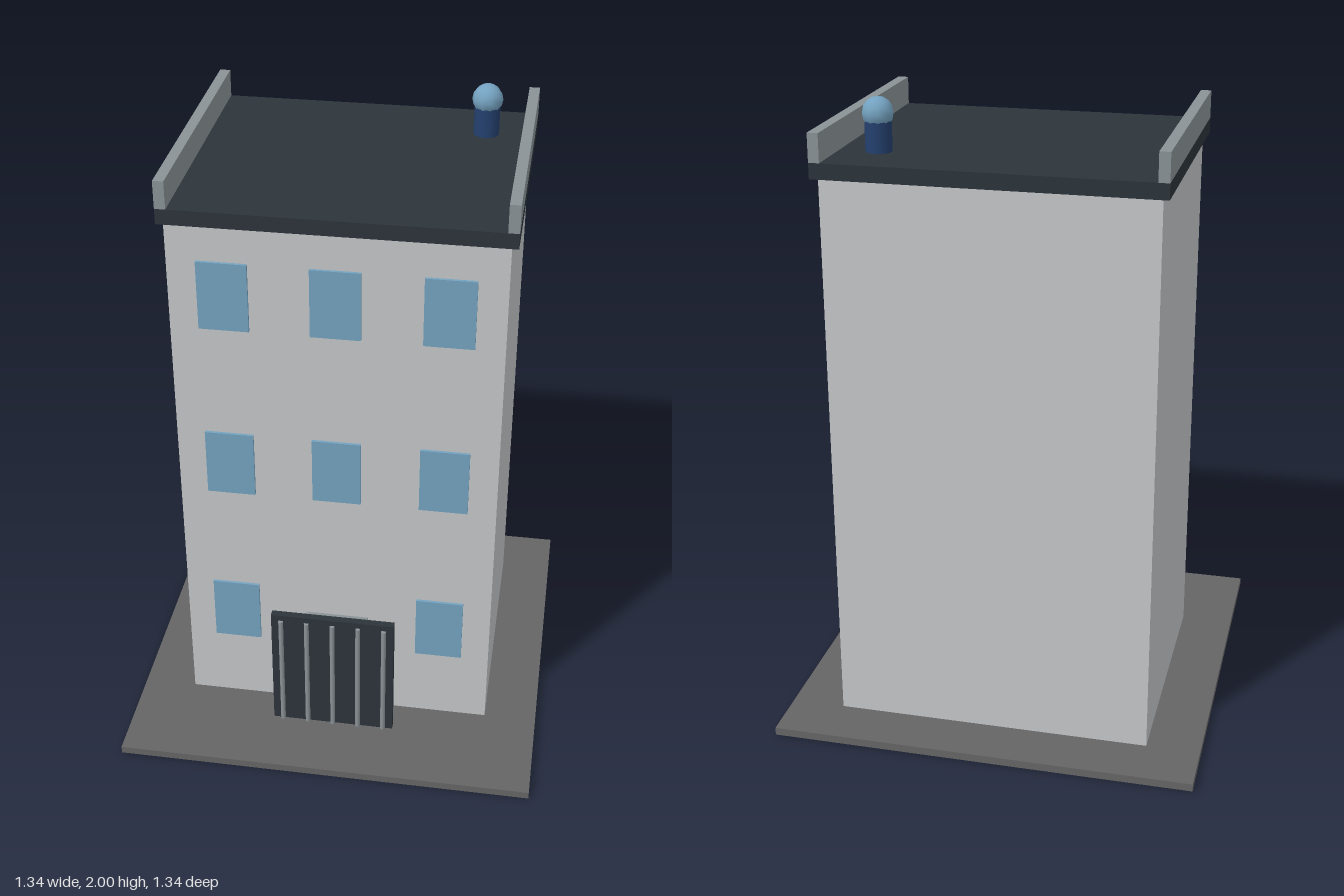
import * as THREE from 'three';

const mat = (name, color, flatShading = false) => {
  const m = new THREE.MeshStandardMaterial({ color, flatShading });
  m.name = name;
  return m;
};

export function createModel() {
  const model = new THREE.Group();
  model.name = 'building';
  const wall = mat('wall grey', 0xc3c6c8);
  const roof = mat('roof charcoal', 0x2c343a);
  const trim = mat('trim grey', 0x8a9296);
  const glass = mat('glass blue', 0x74a2c0);
  const paving = mat('paving grey', 0x656565);
  const navy = mat('tank navy', 0x24406e);

  const add = (name, geometry, material, x, y, z) => {
    const mesh = new THREE.Mesh(geometry, material);
    mesh.name = name;
    mesh.position.set(x, y, z);
    model.add(mesh);
    return mesh;
  };
  // Box given by its limits on each axis
  const box = (name, material, x0, x1, y0, y1, z0, z1) =>
    add(name, new THREE.BoxGeometry(x1 - x0, y1 - y0, z1 - z0), material,
      (x0 + x1) / 2, (y0 + y1) / 2, (z0 + z1) / 2);

  // Ground slab, main block and overhanging roof
  box('groundSlab', paving, -0.67, 0.67, 0, 0.025, -0.67, 0.67);
  box('walls', wall, -0.5, 0.5, 0.025, 1.79, -0.5, 0.338);
  box('roofSlab', roof, -0.52, 0.52, 1.79, 1.838, -0.52, 0.35);

  // Parapets along both sides of the roof
  box('parapetRight', trim, -0.52, -0.487, 1.838, 1.925, -0.52, 0.35);
  box('parapetLeft', trim, 0.487, 0.52, 1.838, 1.925, -0.52, 0.35);

  // Windows on three floors; the door takes the middle of the ground floor
  [0.387, 0.974, 1.565].forEach((y, floor) => {
    for (const x of [-0.335, 0, 0.335]) {
      if (floor === 0 && x === 0) continue;
      box('window', glass, x - 0.076, x + 0.076, y - 0.111, y + 0.111, 0.338, 0.347);
    }
  });
  box('door', trim, -0.1, 0.1, 0.025, 0.4, 0.338, 0.35);
  box('doorPane', glass, -0.07, 0.07, 0.28, 0.39, 0.35, 0.354);

  // Freestanding gate with vertical bars
  box('gate', roof, -0.2, 0.2, 0.025, 0.465, 0.425, 0.449);
  for (let i = -2; i <= 2; i++) {
    add('gateBar', new THREE.CylinderGeometry(0.008, 0.008, 0.42, 8), trim, i * 0.084, 0.235, 0.452);
  }

  // Rooftop tank with a ball on top
  add('roofTank', new THREE.CylinderGeometry(0.04, 0.04, 0.1, 16), navy, 0.368, 1.888, -0.335);
  add('roofBall', new THREE.SphereGeometry(0.048, 10, 8), glass, 0.368, 1.952, -0.335);

  return model;
}
